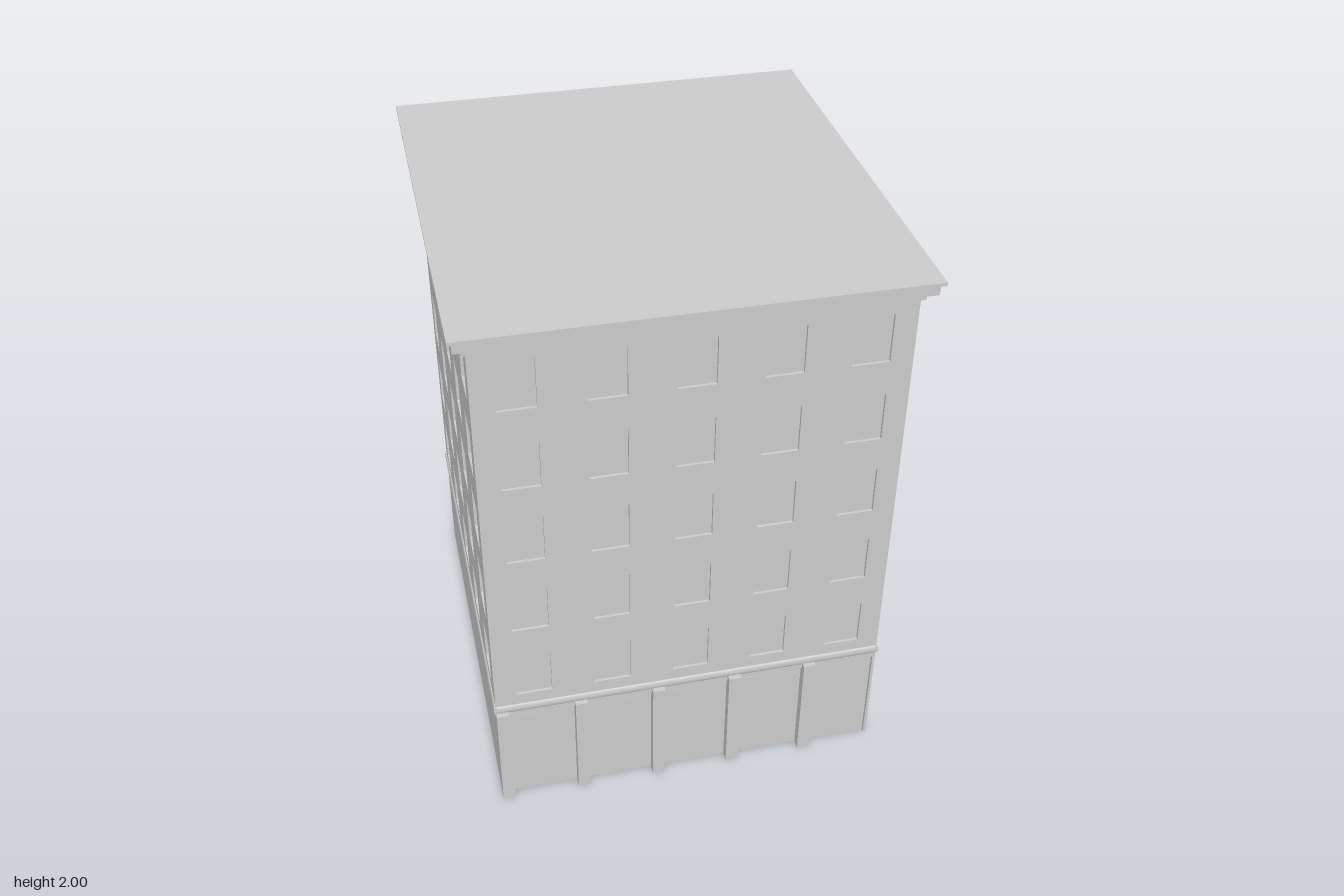
import * as THREE from 'three';

const HX = 0.69, HZ = 0.736;        // half width and half depth of the body
const TOP = 1.925, WALL = 0.01;     // wall height and thickness
const BAYS = 5, FLOORS = 5, SHOP_TOP = 0.4;
const SILL = 0.5, STOREY = 0.3, WINDOW_H = 0.175;

export function createModel() {
  const model = new THREE.Group();
  model.name = 'apartmentBlock';
  const stone = new THREE.MeshStandardMaterial({ color: 0xcccccc, side: THREE.DoubleSide });
  stone.name = 'lightGreyStone';

  const add = (parent, name, geometry, x = 0, y = 0, z = 0) => {
    const mesh = new THREE.Mesh(geometry, stone);
    mesh.name = name;
    mesh.position.set(x, y, z);
    parent.add(mesh);
    return mesh;
  };
  const box = (parent, name, w, h, d, x, y, z) =>
    add(parent, name, new THREE.BoxGeometry(w, h, d), x, y, z);
  const rectangle = (path, x0, y0, x1, y1) => {
    path.moveTo(x0, y0);
    path.lineTo(x1, y0);
    path.lineTo(x1, y1);
    path.lineTo(x0, y1);
    path.closePath();
    return path;
  };

  // One wall with a grid of shallow recessed windows, facing +z before turning
  function makeWall(name, half, distance, angle, bottom) {
    const wall = new THREE.Group();
    wall.name = name;
    wall.rotation.y = angle;
    const bay = (2 * half) / BAYS, w = bay * 0.45;
    const shape = rectangle(new THREE.Shape(), -half, bottom, half, TOP);
    for (let i = 0; i < BAYS; i++) {
      for (let j = 0; j < FLOORS; j++) {
        const x = -half + (i + 0.5) * bay, y = SILL + j * STOREY;
        shape.holes.push(rectangle(new THREE.Path(), x - w / 2, y, x + w / 2, y + WINDOW_H));
        box(wall, 'windowPane', w + 0.004, WINDOW_H + 0.004, 0.006,
          x, y + WINDOW_H / 2, distance - WALL - 0.003);
      }
    }
    const geometry = new THREE.ExtrudeGeometry(shape, { depth: WALL, bevelEnabled: false });
    add(wall, 'wallPanel', geometry, 0, 0, distance - WALL);

    // Slim rounded string course above the ground floor
    const rod = new THREE.CylinderGeometry(0.017, 0.017, 2 * half + 0.012, 16);
    rod.rotateZ(Math.PI / 2);
    rod.scale(1, 1, 0.4);
    add(wall, 'stringCourse', rod, 0, 0.438, distance);
    model.add(wall);
  }
  makeWall('frontWall', HX, HZ, 0, SHOP_TOP);
  makeWall('leftWall', HZ, HX, Math.PI / 2, 0);
  makeWall('backWall', HX, HZ, Math.PI, 0);
  makeWall('rightWall', HZ, HX, -Math.PI / 2, 0);

  // Slightly recessed ground-floor front with pilasters and sign boards
  const shop = new THREE.Group();
  shop.name = 'shopFront';
  model.add(shop);
  box(shop, 'shopWall', 2 * HX - 0.002, SHOP_TOP, WALL, 0, SHOP_TOP / 2, HZ - 0.017);
  const bay = (2 * HX) / BAYS;
  for (let i = 0; i < BAYS; i++) {
    const x = -HX + i * bay;
    box(shop, 'pilaster', 0.044, 0.425, 0.035, x + 0.022, 0.2125, HZ + 0.0045);
    box(shop, 'signBoard', bay * 0.75, 0.06, 0.016, x + bay / 2, 0.37, HZ - 0.007);
  }

  // Three-step cornice carrying the flat roof: bottom, top, overhang
  for (const [y0, y1, out] of [[1.92, 1.95, 0.012], [1.95, 1.988, 0.04], [1.988, 2, 0.054]]) {
    box(model, 'corniceTier', 2 * (HX + out), y1 - y0, 2 * (HZ + out), 0, (y0 + y1) / 2, 0);
  }
  return model;
}
